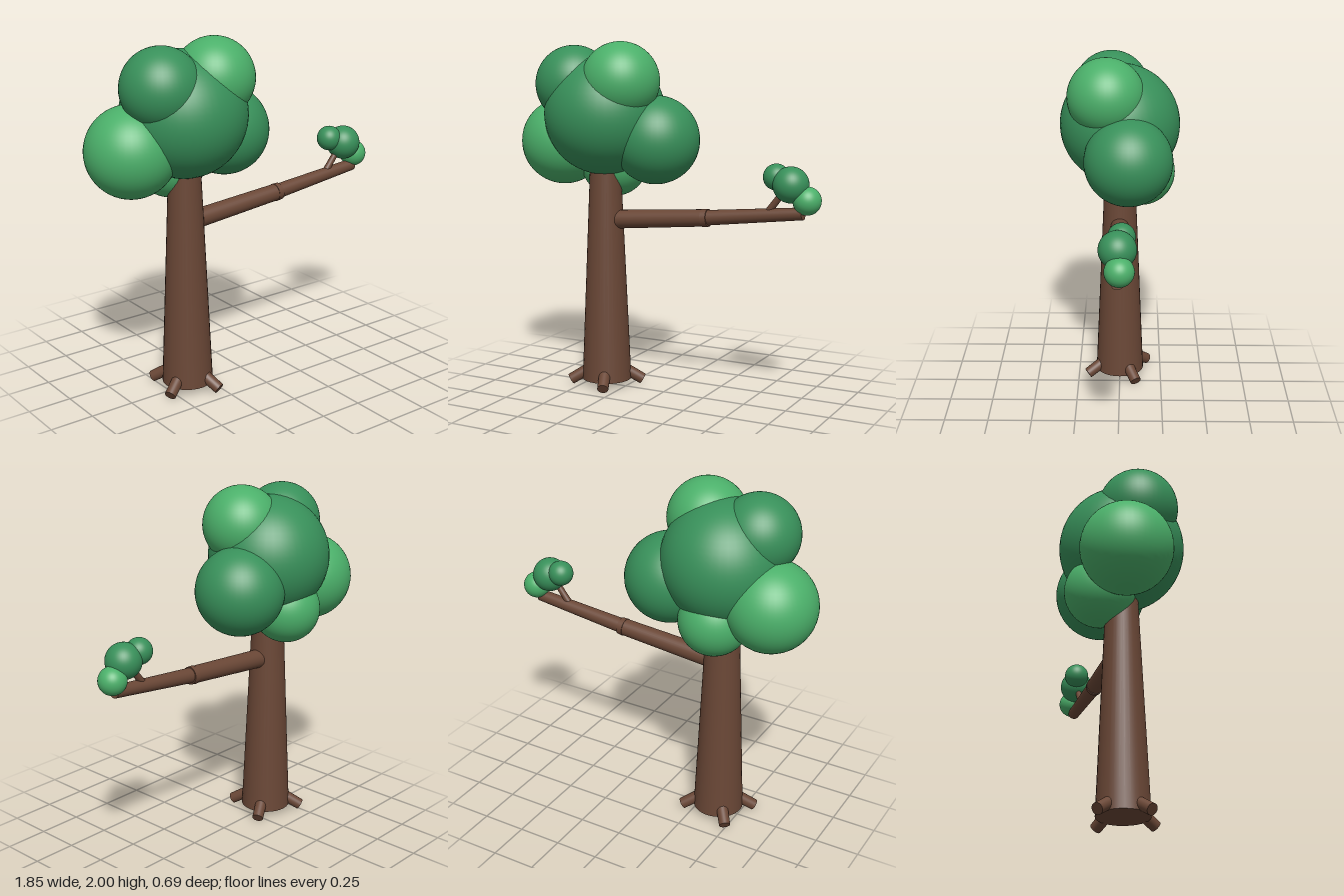
import * as THREE from 'three';

export function createModel() {
  const tree = new THREE.Group();
  tree.name = 'tree';

  const paint = (name, color) => {
    const m = new THREE.MeshStandardMaterial({ color });
    m.name = name;
    return m;
  };
  const bark = paint('bark brown', 0x6a4736);
  const leaf = paint('leaf green', 0x38905a);
  const lightLeaf = paint('light leaf green', 0x4bb06a);

  const add = (name, geometry, material) => {
    const mesh = new THREE.Mesh(geometry, material);
    mesh.name = name;
    tree.add(mesh);
    return mesh;
  };

  // Tapered round limb running from point a to point b
  const limb = (name, a, b, ra, rb) => {
    const from = new THREE.Vector3(...a);
    const to = new THREE.Vector3(...b);
    const dir = to.clone().sub(from);
    const mesh = add(name, new THREE.CylinderGeometry(rb, ra, dir.length(), 32), bark);
    mesh.position.copy(from).add(to).multiplyScalar(0.5);
    mesh.quaternion.setFromUnitVectors(new THREE.Vector3(0, 1, 0), dir.normalize());
  };

  // Trunk
  const tx = -0.375;
  limb('trunk', [tx, 0.04, 0], [tx, 1.3, 0], 0.143, 0.088);

  // Roots sloping down and out around the foot of the trunk
  for (const degrees of [67, 152, 232, -28]) {
    const a = THREE.MathUtils.degToRad(degrees);
    const at = (r, y) => [tx + r * Math.cos(a), y, r * Math.sin(a)];
    limb('root', at(0.08, 0.108), at(0.21, 0.03), 0.034, 0.032);
  }

  // Long side branch with a collar at the joint, and a twig
  limb('innerBranch', [-0.34, 0.985, 0], [0.25, 1.036, 0], 0.054, 0.048);
  limb('branchCollar', [0.245, 1.035, 0], [0.278, 1.038, 0], 0.051, 0.049);
  limb('outerBranch', [0.24, 1.035, 0], [0.83, 1.1, 0], 0.043, 0.034);
  limb('twig', [0.61, 1.07, 0], [0.74, 1.24, 0], 0.02, 0.017);

  // Leaf clusters: name, radius, centre, material
  const clusters = [
    ['crownCentre', 0.345, [-0.375, 1.59, 0], leaf],
    ['crownRightSide', 0.25, [-0.676, 1.42, -0.05], lightLeaf],
    ['crownLeftSide', 0.25, [-0.076, 1.45, -0.05], leaf],
    ['crownRightTop', 0.22, [-0.546, 1.757, 0.05], leaf],
    ['crownLeftTop', 0.22, [-0.23, 1.78, 0.077], lightLeaf],
    ['crownBackBottom', 0.195, [-0.385, 1.3, -0.125], lightLeaf],
    ['branchLeafCentre', 0.098, [0.758, 1.25, 0], leaf],
    ['branchLeafInner', 0.072, [0.667, 1.285, -0.02], leaf],
    ['branchLeafTip', 0.077, [0.847, 1.168, -0.01], lightLeaf],
  ];
  for (const [name, radius, centre, material] of clusters) {
    add(name, new THREE.SphereGeometry(radius, 48, 32), material).position.set(...centre);
  }

  return tree;
}
